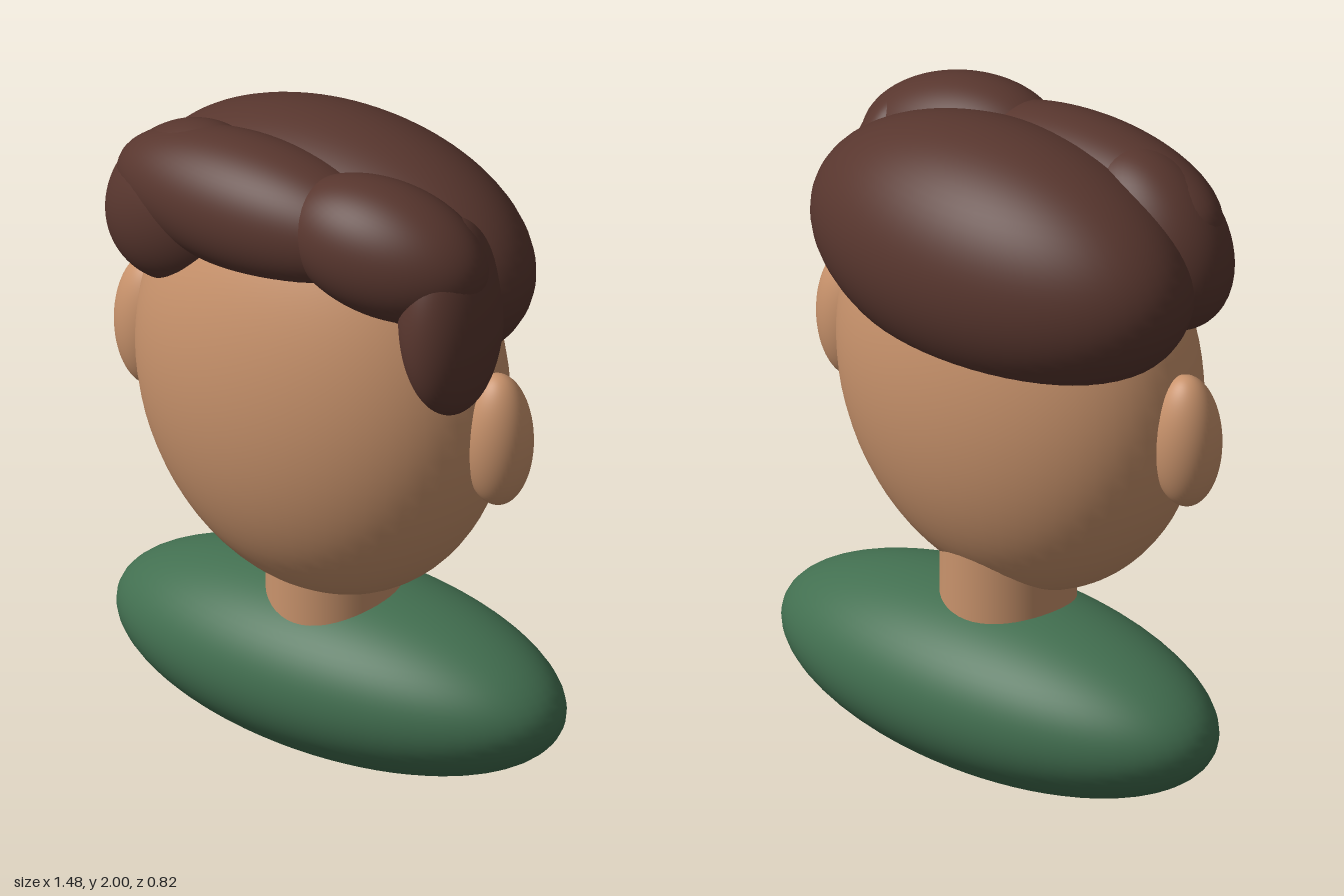
import * as THREE from 'three';

const material = (name, color) => {
  const m = new THREE.MeshStandardMaterial({ color });
  m.name = name;
  return m;
};

export function createModel() {
  const model = new THREE.Group();
  model.name = 'bust';
  const skin = material('skin', 0xc9936c);
  const hair = material('hair brown', 0x58362e);
  const shirt = material('shirt green', 0x426f50);
  const sphere = new THREE.SphereGeometry(1, 56, 40);

  // Smooth ellipsoid given by centre, radii and tilt
  function blob(name, mat, position, radii, tilt = [0, 0, 0]) {
    const mesh = new THREE.Mesh(sphere, mat);
    mesh.name = name;
    mesh.position.set(...position);
    mesh.scale.set(...radii);
    mesh.rotation.set(...tilt);
    model.add(mesh);
  }

  // Shoulders and neck
  blob('shoulders', shirt, [0, 0.274, -0.06], [0.74, 0.273, 0.34]);
  const neck = new THREE.Mesh(new THREE.CylinderGeometry(0.19, 0.195, 0.5, 48), skin);
  neck.name = 'neck';
  neck.position.set(0, 0.6, -0.025);
  model.add(neck);

  // Head and ears
  blob('head', skin, [0, 1.23, 0.03], [0.59, 0.68, 0.38]);
  for (const [name, side] of [['leftEar', 1], ['rightEar', -1]]) {
    blob(name, skin, [side * 0.6, 1.195, 0.025], [0.105, 0.205, 0.098]);
  }

  // Cap of hair over the crown and back
  blob('hairCap', hair, [0, 1.63, -0.05], [0.63, 0.37, 0.36]);

  // Swept fringe and the lock beside the temple
  blob('fringeRight', hair, [-0.37, 1.71, 0.16], [0.285, 0.225, 0.19], [0, 0, 0.8]);
  blob('fringeMiddle', hair, [-0.12, 1.785, 0.185], [0.46, 0.2, 0.198]);
  blob('fringeLeft', hair, [0.32, 1.78, 0.17], [0.31, 0.197, 0.187], [0, 0.2, -0.2]);
  blob('templeLock', hair, [0.515, 1.61, 0.13], [0.127, 0.29, 0.185], [-0.14, 0, 0.12]);

  return model;
}
